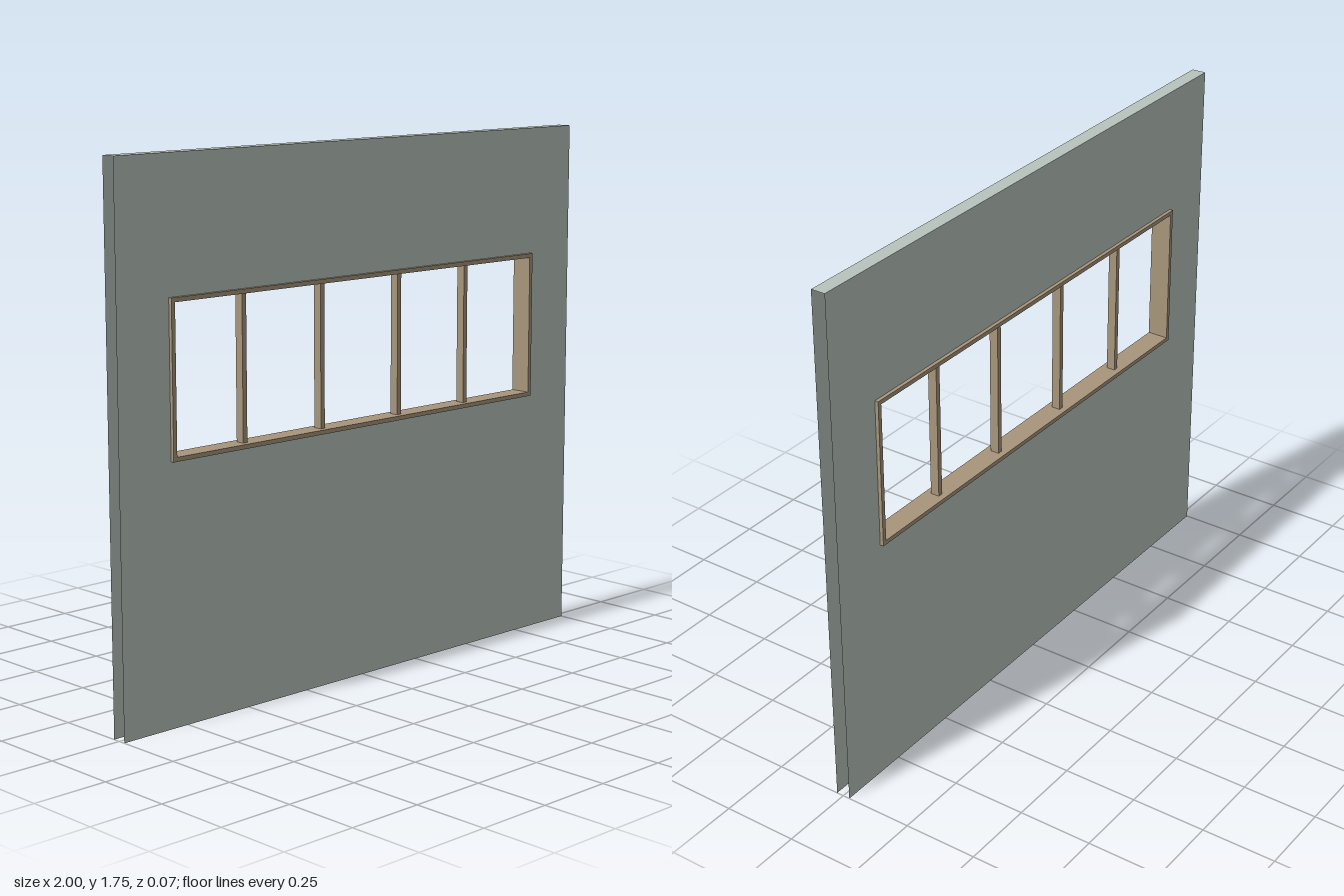
import * as THREE from 'three';

const WALL = { w: 2, h: 1.75, z: 0.024 };
const WIN = { x: 0.802, y0: 0.83, y1: 1.324, depth: 0.072, bar: 0.014 };

// Rectangle traced as a closed outline on a shape or path
function rect(path, x0, y0, x1, y1) {
  path.moveTo(x0, y0);
  path.lineTo(x1, y0);
  path.lineTo(x1, y1);
  path.lineTo(x0, y1);
  path.closePath();
  return path;
}

export function createModel() {
  const group = new THREE.Group();
  const wallPaint = new THREE.MeshStandardMaterial({ color: 0xb9c4be, side: THREE.DoubleSide });
  wallPaint.name = 'pale grey green paint';
  const wood = new THREE.MeshStandardMaterial({ color: 0xa8967b });
  wood.name = 'tan wood';

  const add = (name, geometry, material, x = 0, y = 0, z = 0) => {
    const mesh = new THREE.Mesh(geometry, material);
    mesh.name = name;
    mesh.position.set(x, y, z);
    group.add(mesh);
    return mesh;
  };

  // Two thin wall skins with a window opening; ends and bottom stay open
  const skin = rect(new THREE.Shape(), -WALL.w / 2, 0, WALL.w / 2, WALL.h);
  skin.holes.push(rect(new THREE.Path(), -WIN.x, WIN.y0, WIN.x, WIN.y1));
  const skinGeometry = new THREE.ShapeGeometry(skin);
  add('wallFront', skinGeometry, wallPaint, 0, 0, WALL.z);
  add('wallBack', skinGeometry, wallPaint, 0, 0, -WALL.z).rotation.y = Math.PI;

  // Cap closing the top of the wall
  const cap = new THREE.PlaneGeometry(WALL.w, WALL.z * 2).rotateX(-Math.PI / 2);
  add('wallTop', cap, wallPaint, 0, WALL.h, 0);

  // Window frame lining the opening and standing slightly proud
  const outline = rect(new THREE.Shape(), -WIN.x, WIN.y0, WIN.x, WIN.y1);
  outline.holes.push(rect(new THREE.Path(),
    -WIN.x + WIN.bar, WIN.y0 + WIN.bar, WIN.x - WIN.bar, WIN.y1 - WIN.bar));
  const frame = new THREE.ExtrudeGeometry(outline, { depth: WIN.depth, bevelEnabled: false });
  add('windowFrame', frame, wood, 0, 0, -WIN.depth / 2);

  // Upright bars dividing the opening
  const height = WIN.y1 - WIN.y0 - 2 * WIN.bar;
  const bar = new THREE.BoxGeometry(0.017, height, 0.03);
  [-0.498, -0.169, 0.175, 0.49].forEach((x, i) =>
    add(`mullion${i + 1}`, bar, wood, x, (WIN.y0 + WIN.y1) / 2, 0));

  return group;
}
